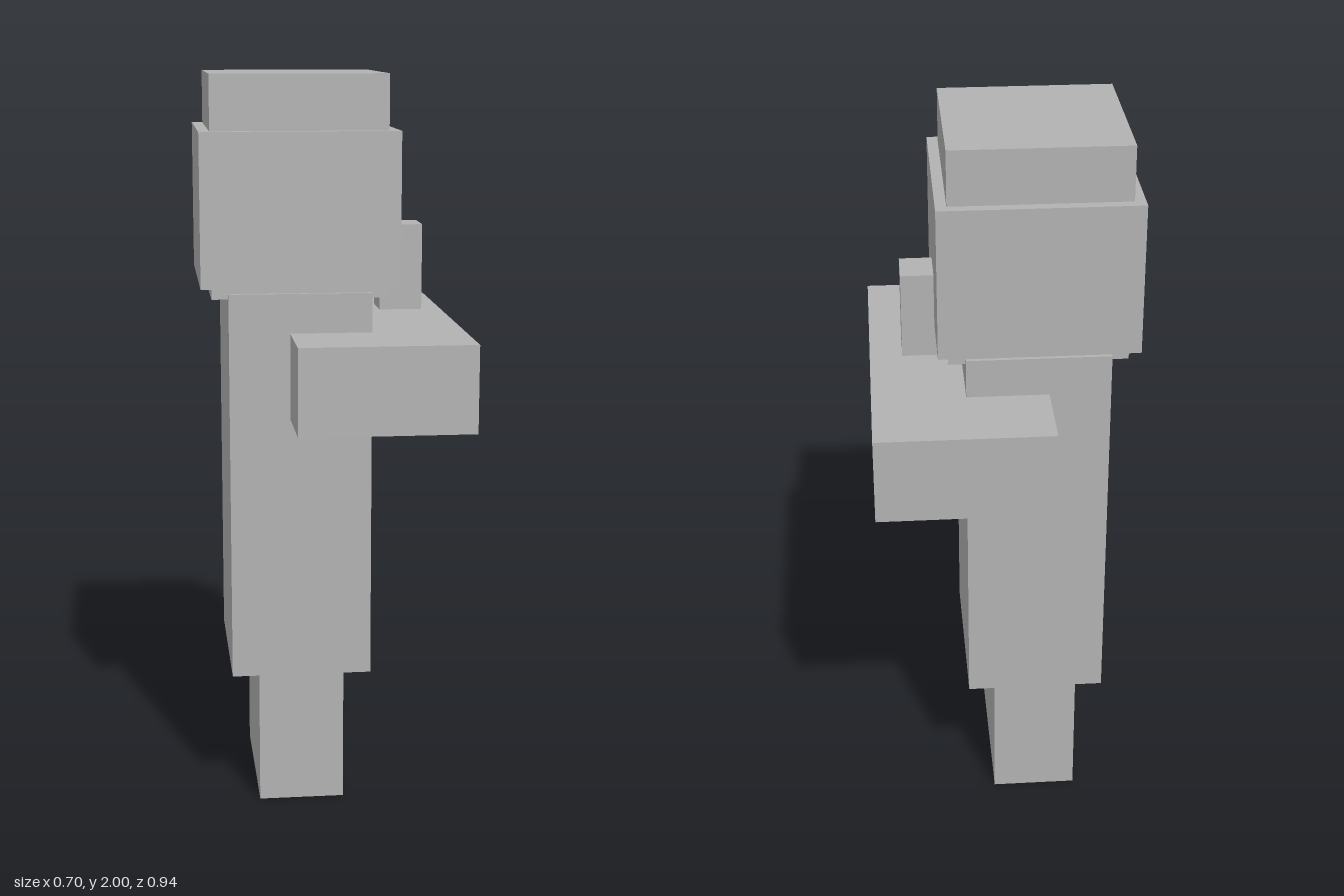
import * as THREE from 'three';

export function createModel() {
  const model = new THREE.Group();
  const grey = new THREE.MeshStandardMaterial({ color: 0xb2b2b2 });
  grey.name = 'plain grey';

  // Box given by its x range, y range and half depth in z
  function box(name, x0, x1, y0, y1, halfDepth) {
    const geometry = new THREE.BoxGeometry(x1 - x0, y1 - y0, halfDepth * 2);
    const mesh = new THREE.Mesh(geometry, grey);
    mesh.position.set((x0 + x1) / 2, (y0 + y1) / 2, 0);
    mesh.name = name;
    model.add(mesh);
  }

  // Figure looking along +x, with folded arms across the chest
  box('legs', -0.206, 0.028, 0, 0.372, 0.235);
  box('robe', -0.28, 0.102, 0.37, 1.43, 0.247);
  box('foldedArms', -0.117, 0.351, 1.09, 1.324, 0.47);
  box('head', -0.324, 0.146, 1.416, 2, 0.236);
  box('headWrap', -0.353, 0.175, 1.446, 1.854, 0.265);
  box('nose', 0.146, 0.263, 1.356, 1.59, 0.058);

  return model;
}
